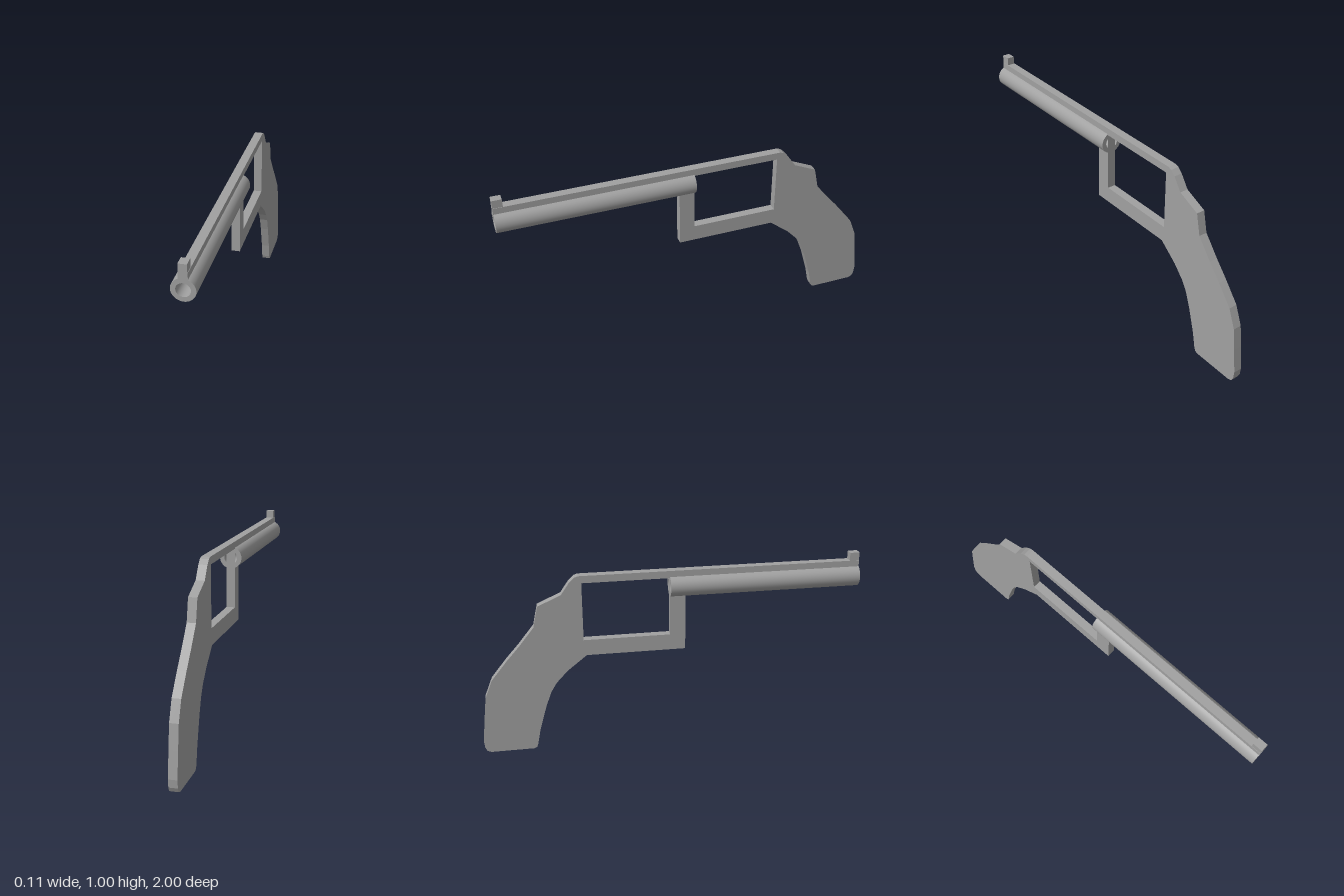
import * as THREE from 'three';
import { mergeGeometries } from 'three/addons/utils/BufferGeometryUtils.js';

const WIDTH = 0.044;
const BARREL_Y = 0.875;
const OUTER = 0.057;
const BORE = 0.034;

// Side outline of frame, top strap and grip as [z, y]
const OUTLINE = [
  [0.08, 0.527], [0.08, 0.83], [0, 0.83], [0, 0.612], [-0.45, 0.612], [-0.45, 0.922],
  [1, 0.922], [1, 0.96], [-0.465, 0.96], [-0.485, 0.953], [-0.51, 0.93], [-0.555, 0.865],
  [-0.675, 0.812], [-0.7, 0.7], [-0.78, 0.6], [-0.85, 0.52], [-0.93, 0.42], [-0.97, 0.32],
  [-0.985, 0.2], [-1, 0.07], [-0.996, 0.03], [-0.985, 0.008], [-0.965, 0], [-0.738, 0],
  [-0.724, 0.007], [-0.717, 0.025], [-0.7, 0.11], [-0.66, 0.25], [-0.63, 0.33],
  [-0.6, 0.38], [-0.54, 0.445], [-0.437, 0.527],
];

export function createModel() {
  const model = new THREE.Group();
  const metal = new THREE.MeshStandardMaterial({ color: 0xa0a0a0 });
  metal.name = 'grey';

  const add = (name, geometry, x = 0, y = 0, z = 0) => {
    const mesh = new THREE.Mesh(geometry, metal);
    mesh.name = name;
    mesh.position.set(x, y, z);
    model.add(mesh);
  };

  // Flat frame with grip, extruded across x
  const shape = new THREE.Shape(OUTLINE.map(([z, y]) => new THREE.Vector2(z, y)));
  const frame = new THREE.ExtrudeGeometry(shape, { depth: WIDTH, bevelEnabled: false });
  frame.translate(0, 0, -WIDTH / 2).rotateY(-Math.PI / 2);
  add('frameAndGrip', frame);

  // Hollow barrel: each wall is its own lathe so the rims stay sharp
  const rim = [[OUTER, 0], [OUTER, 1], [BORE, 1], [BORE, 0]];
  const walls = rim.map((p, i) => new THREE.LatheGeometry(
    [p, rim[(i + 1) % 4]].map(([r, h]) => new THREE.Vector2(r, h)), 40));
  add('barrel', mergeGeometries(walls).rotateX(Math.PI / 2), 0, BARREL_Y, 0);

  // Rear face of the post, crossing the end of the bore
  add('postRearFace', new THREE.PlaneGeometry(WIDTH, BORE * 2).rotateY(Math.PI), 0, BARREL_Y, 0);

  // Front sight
  add('frontSight', new THREE.BoxGeometry(0.04, 0.05, 0.05), 0, 0.977, 0.975);

  return model;
}
